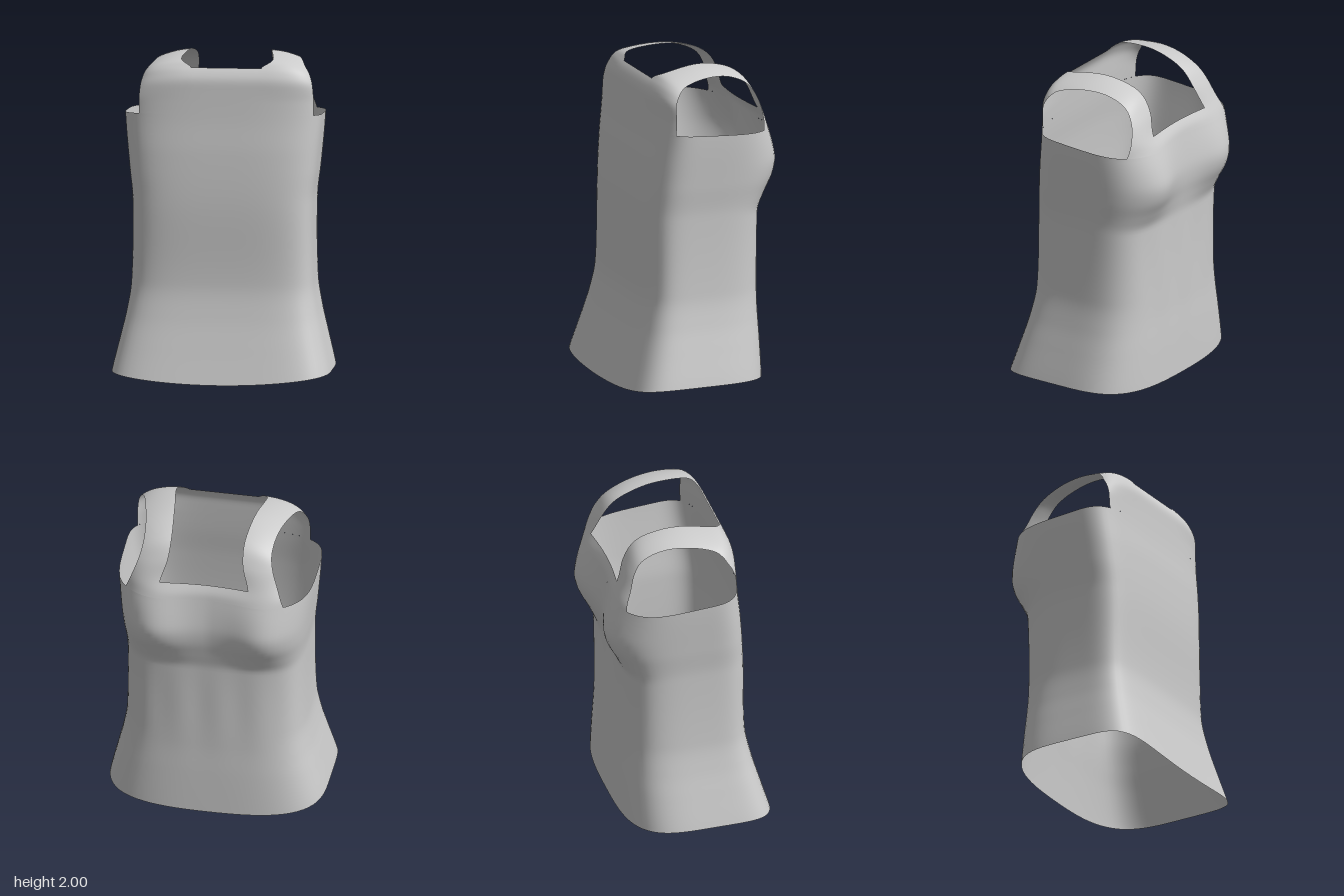
import * as THREE from 'three';
import { mergeGeometries, mergeVertices } from 'three/addons/utils/BufferGeometryUtils.js';

const V = (x, y, z) => new THREE.Vector3(x, y, z);
const { lerp, clamp, smoothstep } = THREE.MathUtils;

// Smooth profile through [y, value] keys
function profile(keys) {
  const slope = (i) => {
    const a = keys[Math.max(i - 1, 0)], b = keys[Math.min(i + 1, keys.length - 1)];
    return (b[1] - a[1]) / (b[0] - a[0]);
  };
  return (y) => {
    y = clamp(y, keys[0][0], keys[keys.length - 1][0]);
    let i = 0;
    while (i < keys.length - 2 && y > keys[i + 1][0]) i++;
    const [y0, a] = keys[i], [y1, b] = keys[i + 1];
    const d = y1 - y0, t = (y - y0) / d, t2 = t * t, t3 = t2 * t;
    return (2 * t3 - 3 * t2 + 1) * a + (t3 - 2 * t2 + t) * d * slope(i)
      + (3 * t2 - 2 * t3) * b + (t3 - t2) * d * slope(i + 1);
  };
}

const halfWidth = profile([[0, 0.68], [0.06, 0.672], [0.27, 0.622], [0.42, 0.587], [0.6, 0.56],
  [1.1, 0.555], [1.3, 0.575], [1.64, 0.605], [1.85, 0.605]]);
const frontZ = profile([[0, 0.512], [0.2, 0.455], [0.4, 0.402], [0.6, 0.368], [1.1, 0.365],
  [1.4, 0.348], [1.6, 0.327], [1.8, 0.312]]);
const bust = profile([[0, 0], [1.07, 0], [1.18, 0.045], [1.28, 0.098], [1.37, 0.119], [1.46, 0.105],
  [1.6, 0.06], [1.7, 0.018], [1.8, -0.025]]);
const backZ = profile([[0, -0.41], [0.3, -0.405], [0.5, -0.4], [1.8, -0.4]]);
const MID_Z = 0.05;

// Squareness of the cross-section corners
const frontPower = profile([[0, 6], [0.4, 5.4], [1.1, 4.6], [1.64, 3.8], [1.85, 3.8]]);
const backPower = profile([[0, 3.5], [0.5, 4], [1.1, 4.3], [1.4, 4.5], [1.8, 4.5]]);
const power = (front, y) => (front ? frontPower(y) : backPower(y));

// Depth of the garment at a given x and y, on the +z or -z half
function surfaceZ(x, y, front) {
  const n = power(front, y);
  const r = Math.pow(Math.max(0, 1 - Math.pow(Math.abs(x) / halfWidth(y), n)), 1 / n);
  if (front) return MID_Z + (frontZ(y) - MID_Z) * r;
  const lobes = 0.36 + 0.64 * Math.exp(-(((Math.abs(x) - 0.35) / 0.2) ** 2));
  const folds = 0.003 * Math.sin(x * 26) * Math.exp(-(((y - 0.8) / 0.3) ** 2));
  return MID_Z + (backZ(y) - MID_Z + folds - bust(y) * lobes) * r;
}

// Height of the armhole line
const armY = (z) => 1.6 + (z + 0.37) * 0.068;

// Grid surface from f(u, v)
function sheet(cols, rows, f) {
  const pos = [], index = [];
  for (let j = 0; j <= rows; j++) {
    for (let i = 0; i <= cols; i++) pos.push(...f(i / cols, j / rows).toArray());
  }
  for (let j = 0; j < rows; j++) {
    for (let i = 0; i < cols; i++) {
      const a = j * (cols + 1) + i, b = a + 1, c = a + cols + 1, d = c + 1;
      index.push(a, b, d, a, d, c);
    }
  }
  const g = new THREE.BufferGeometry();
  g.setAttribute('position', new THREE.Float32BufferAttribute(pos, 3));
  g.setIndex(index);
  return g;
}

// Torso tube from the hem to the armhole line
function bodyPoint(u, v) {
  const a = -u * Math.PI * 2, c = Math.cos(a), s = Math.sin(a);
  const front = s >= 0, n = power(front, 1);
  const k = c / Math.pow(Math.abs(c) ** n + Math.abs(s) ** n, 1 / n);
  const top = armY(surfaceZ(k * halfWidth(1.62), 1.62, front));
  const dip = front ? 0.055 : 0.035;
  const hem = 0.055 - dip * (1 - k * k) * Math.min(1, Math.abs(s) * 1.5);
  const y = lerp(hem, top, v), x = k * halfWidth(y);
  return V(x, y, surfaceZ(x, y, front));
}

// Strap guide lines, front to back: armhole edge, middle, neck edge
const guide = (pts) => new THREE.CatmullRomCurve3(pts.map((p) => V(...p)), false, 'catmullrom', 0.5);
const outer = guide([[0.535, 1.64, 0.25], [0.535, 1.74, 0.245], [0.527, 1.83, 0.23],
  [0.507, 1.89, 0.2], [0.475, 1.93, 0.14], [0.44, 1.955, 0], [0.41, 1.945, -0.15],
  [0.4, 1.89, -0.28], [0.42, 1.8, -0.345], [0.46, 1.69, -0.372], [0.495, 1.6, -0.38]]);
const middle = guide([[0.43, 1.64, 0.305], [0.43, 1.74, 0.302], [0.42, 1.85, 0.285],
  [0.4, 1.925, 0.25], [0.39, 1.96, 0.18], [0.35, 1.985, 0], [0.325, 1.97, -0.16],
  [0.315, 1.915, -0.29], [0.335, 1.815, -0.36], [0.375, 1.69, -0.41], [0.4, 1.6, -0.455]]);
const inner = guide([[0.24, 1.64, 0.324], [0.24, 1.74, 0.318], [0.23, 1.86, 0.303],
  [0.215, 1.93, 0.265], [0.28, 1.973, 0.205], [0.255, 2, 0], [0.235, 1.98, -0.16],
  [0.225, 1.925, -0.285], [0.235, 1.82, -0.36], [0.275, 1.69, -0.405], [0.275, 1.6, -0.455]]);
const SHIFT = 0.03;

// Let the lower yoke follow the torso surface
function settle(p, t) {
  p.x += SHIFT;
  const front = t < 0.5;
  const w = front ? 1 - smoothstep(t, 0.08, 0.25) : smoothstep(t, 0.82, 0.98);
  const edge = surfaceZ(p.x, 1.62, front);
  p.y += w * (armY(edge) - (front ? 1.64 : 1.6));
  p.z = lerp(p.z, surfaceZ(p.x, p.y, front), w);
  return p;
}

function strap(side) {
  return sheet(12, 60, (u, t) => {
    const k = side < 0 ? u : 1 - u;
    const o = outer.getPoint(t), m = middle.getPoint(t), n = inner.getPoint(t);
    const control = m.multiplyScalar(2).addScaledVector(o, -0.5).addScaledVector(n, -0.5);
    const p = new THREE.QuadraticBezierCurve3(o, control, n).getPoint(k);
    p.x *= side;
    return settle(p, t);
  });
}

// Fill between the straps, from guide position t0 to t1
function panel(t0, t1, rows, sag) {
  return sheet(20, rows, (u, v) => {
    const t = lerp(t0, t1, v), q = u * 2 - 1;
    const p = inner.getPoint(t);
    p.x *= q;
    p.z += sag * (1 - q * q);
    return settle(p, t);
  });
}

export function createModel() {
  const group = new THREE.Group();
  group.name = 'sleevelessTop';
  const material = new THREE.MeshStandardMaterial({ color: 0xcccccc, side: THREE.DoubleSide });
  const add = (name, geometry) => {
    const g = mergeVertices(geometry, 1e-4);
    g.computeVertexNormals();
    const mesh = new THREE.Mesh(g, material);
    mesh.name = name;
    group.add(mesh);
  };
  add('torso', sheet(112, 64, bodyPoint));
  // Shoulder straps with the high panel on +z and the low panel on -z
  add('yokeAndStraps', mergeGeometries([
    strap(-1), strap(1), panel(0, 0.3, 18, 0), panel(0.9, 1, 6, 0.03),
  ]));
  return group;
}
